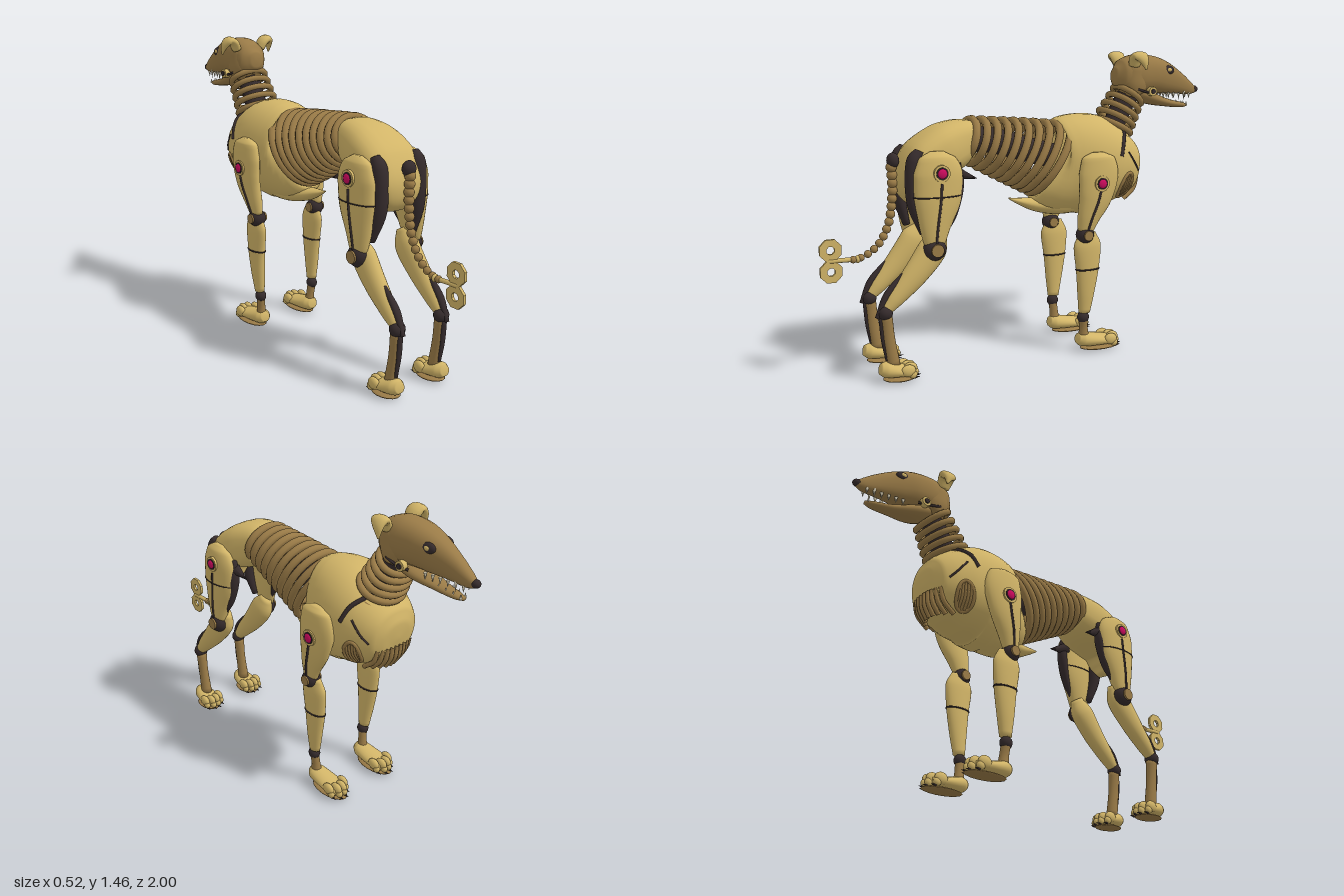
import * as THREE from 'three';

const mat = (name, color) => Object.assign(new THREE.MeshStandardMaterial({ color }), { name });

export function createModel() {
  const gold = mat('gold', 0xd2b568), brown = mat('bronze', 0x9a7b47), dark = mat('dark iron', 0x352b2c);
  const pink = mat('pink gem', 0xcc0a5e), bone = mat('bone', 0xe6dcc0);
  const root = new THREE.Group();
  const V = (x, y, z) => new THREE.Vector3(x, y, z);

  const add = (name, geo, material) => {
    const m = new THREE.Mesh(geo, material);
    m.name = name;
    root.add(m);
    return m;
  };

  // Surface through sections [x, y, z, half width, half depth]; i is a section index, power below 1 squares them
  const surface = (secs, ref, power) => {
    const path = new THREE.CatmullRomCurve3(secs.map(s => V(s[0], s[1], s[2])));
    const radii = new THREE.CatmullRomCurve3(secs.map(s => V(s[3], s[4], 0)));
    const n = secs.length - 1, bend = q => Math.sign(q) * Math.abs(q) ** power;
    return (i, a) => {
      const t = Math.min(1, Math.max(0, i / n));
      const tan = path.getTangent(t), r = radii.getPoint(t);
      const u = ref.clone().addScaledVector(tan, -ref.dot(tan)).normalize();
      const v = tan.clone().cross(u);
      return path.getPoint(t).addScaledVector(u, bend(Math.cos(a)) * r.x).addScaledVector(v, bend(Math.sin(a)) * r.y);
    };
  };

  const loft = (name, material, secs, { ref = V(1, 0, 0), power = 1, seg = 24 } = {}) => {
    const P = surface(secs, ref, power), n = secs.length - 1, rows = n * 5, pos = [], idx = [];
    for (let i = 0; i <= rows; i++)
      for (let j = 0; j < seg; j++) pos.push(...P(i / 5, j / seg * Math.PI * 2).toArray());
    const end = (rows + 1) * seg;
    pos.push(...secs[0].slice(0, 3), ...secs[n].slice(0, 3));
    for (let j = 0; j < seg; j++) {
      const k = (j + 1) % seg;
      for (let i = 0; i < rows; i++) {
        const o = i * seg;
        idx.push(o + j, o + k, o + seg + j, o + k, o + seg + k, o + seg + j);
      }
      idx.push(end, k, j, end + 1, rows * seg + j, rows * seg + k);
    }
    const g = new THREE.BufferGeometry();
    g.setAttribute('position', new THREE.Float32BufferAttribute(pos, 3));
    g.setIndex(idx);
    g.computeVertexNormals();
    add(name, g, material);
    return P;
  };

  const tube = (name, material, pts, r, closed = false) =>
    add(name, new THREE.TubeGeometry(new THREE.CatmullRomCurve3(pts, closed), closed ? 40 : 14, r, 8, closed), material);

  // Elliptical ring leaning in the yz plane; lean moves its top forward
  const ring = (name, material, x, y, z, rx, ry, lean, r) => {
    const pts = [];
    for (let j = 0; j < 16; j++) {
      const a = j / 16 * Math.PI * 2, q = Math.sin(a) * ry;
      pts.push(V(x + Math.cos(a) * rx, y + q * Math.cos(lean), z - q * Math.sin(lean)));
    }
    tube(name, material, pts, r, true);
  };

  const ball = (name, material, x, y, z, sx, sy = sx, sz = sx) => {
    const m = add(name, new THREE.SphereGeometry(1, 16, 12), material);
    m.position.set(x, y, z);
    m.scale.set(sx, sy, sz);
  };
  const discX = (name, material, x, y, z, r, len) => {
    const m = add(name, new THREE.CylinderGeometry(r, r, len, 18), material);
    m.rotation.z = Math.PI / 2;
    m.position.set(x, y, z);
  };
  const spike = (name, material, x, y, z, r, h, rx) => {
    const m = add(name, new THREE.ConeGeometry(r, h, 8), material);
    m.position.set(x, y, z);
    m.rotation.x = rx;
  };
  const bolt = (s, x, y, z) => {
    discX('boltRim', gold, s * x, y, z, 0.038, 0.016);
    discX('boltCollar', dark, s * (x + 0.003), y, z, 0.028, 0.016);
    ball('boltGem', pink, s * (x + 0.008), y, z, 0.011, 0.023, 0.023);
  };

  // Chest, belly plate and rump
  const chest = loft('chest', gold, [[0, .92, -.12, .1, .17], [0, .9, -.16, .155, .22], [0, .91, -.24, .185, .245],
    [0, .92, -.33, .2, .24], [0, .907, -.43, .192, .212], [0, .893, -.52, .162, .165], [0, .885, -.57, .13, .128],
    [0, .882, -.592, .08, .08], [0, .881, -.598, .012, .012]], { power: .92, seg: 36 });
  loft('bellyPlate', gold, [[0, .72, -.3, .1, .04], [0, .715, -.18, .095, .045], [0, .725, -.06, .06, .035],
    [0, .75, .04, .025, .014], [0, .765, .085, .003, .003]]);
  loft('rump', gold, [[0, 1.05, .28, .09, .085], [0, 1.055, .32, .115, .1], [0, 1.02, .42, .142, .115],
    [0, .97, .52, .148, .1], [0, .91, .58, .135, .065], [0, .84, .59, .105, .045], [0, .79, .58, .06, .02]], { power: .75 });

  // Waist coils around the spine
  tube('spine', dark, [V(0, 1.06, .34), V(0, 1.05, .18), V(0, 1.0, 0), V(0, .95, -.18)], .06);
  for (let i = 0; i < 10; i++) {
    const t = i / 9;
    ring('waistCoil', brown, 0, 1.06 - .11 * t, .3 - .42 * t, .113 + .035 * t, .095 + .095 * t, .3 + .25 * t, .0195);
  }

  // Neck coils
  tube('neckCore', dark, [V(0, .98, -.43), V(0, 1.12, -.505), V(0, 1.3, -.6)], .055);
  for (let i = 0; i < 6; i++) {
    const t = i / 5;
    ring('neckCoil', brown, 0, 1.055 + .185 * t, -.465 - .105 * t, .108 - .012 * t, .1 - .025 * t, -1.15 + .25 * t, .0155);
  }

  // Head, nape, jaw and nose
  loft('head', brown, [[0, 1.34, -.49, .03, .035], [0, 1.338, -.53, .075, .08], [0, 1.345, -.62, .09, .1],
    [0, 1.343, -.7, .083, .094], [0, 1.325, -.78, .064, .082], [0, 1.297, -.87, .042, .057],
    [0, 1.267, -.95, .026, .031], [0, 1.26, -.985, .012, .014]], { power: .85 });
  loft('nape', brown, [[0, 1.235, -.6, .05, .04], [0, 1.255, -.595, .08, .065], [0, 1.31, -.59, .09, .085],
    [0, 1.37, -.595, .088, .085], [0, 1.41, -.6, .07, .06]], { power: .9 });
  loft('lowerJaw', brown, [[0, 1.28, -.56, .05, .035], [0, 1.235, -.67, .068, .036], [0, 1.2, -.8, .04, .021],
    [0, 1.185, -.9, .024, .014], [0, 1.183, -.93, .012, .007]]);
  ball('nose', dark, 0, 1.264, -.978, .019, .018, .022);

  // Centre grille of the chest
  for (let k = -4; k <= 4; k++) {
    const x = k * .025, q = x * x;
    tube('chestGrille', brown, [V(x, .845, -.59 + 1.9 * q), V(x, .785, -.584 + 3 * q), V(x, .735, -.555 + 6 * q)], .011);
  }

  const foot = (s, x, z, len) => {
    loft('paw', gold, [[s * x, .065, z, .025, .025], [s * x, .058, z - .03, .045, .036],
      [s * x, .045, z - len * .6, .055, .027], [s * x, .04, z - len * .85, .045, .02]]);
    ball('sole', brown, s * x, .011, z - len * .54, .055, .011, len * .46);
    for (let k = 0; k < 4; k++) {
      const tx = s * x + (k - 1.5) * .03, tz = z - len * (k % 3 ? .8 : .7);
      ball('toe', gold, tx, .053, tz, .018, .028, .034);
      ball('toeTip', gold, tx, .034, tz - .02, .015, .02, .02);
      spike('claw', dark, tx, .018, tz - .04, .007, .028, -Math.PI / 2);
    }
  };

  for (const s of [1, -1]) {
    const L = secs => secs.map(([x, ...r]) => [s * x, ...r]);
    const out = s > 0 ? 0 : Math.PI; // section angle facing outward
    const side = d => (s > 0 ? d : 180 - d) * Math.PI / 180;

    // Chest seams and side vents
    tube('chestStrap', dark, [[4.5, -80], [4.35, -55], [4.1, -35], [3.9, -12]].map(([i, d]) => chest(i, side(d))), .01);
    tube('chestSeam', dark, [[4.4, -22], [5, -8], [5.7, 2]].map(([i, d]) => chest(i, side(d))), .005);
    const oval = [];
    for (let j = 0; j < 12; j++) {
      const a = j * Math.PI / 6;
      oval.push(chest(4.65 + .42 * Math.cos(a), side(29 + 23 * Math.sin(a))));
    }
    tube('ventRim', brown, oval, .009, true);
    for (let k = -2; k <= 2; k++) {
      const h = 21 * Math.sqrt(1 - k * k / 8), i = 4.65 + k * .14;
      tube('ventSlat', brown, [chest(i, side(29 - h)), chest(i, side(29)), chest(i, side(29 + h))], .007);
    }

    // Ear, eye, cheek bolt and teeth
    loft('ear', gold, L([[.07, 1.39, -.565, .03, .02], [.088, 1.425, -.565, .04, .022], [.112, 1.437, -.57, .042, .021],
      [.133, 1.415, -.58, .027, .016], [.141, 1.37, -.59, .004, .004]]), { ref: V(0, 0, 1), seg: 16 });
    ball('eyeSocket', dark, s * .052, 1.364, -.775, .017, .025, .038);
    ball('eye', gold, s * .063, 1.366, -.778, .009, .011, .015);
    discX('cheekBolt', gold, s * .08, 1.262, -.665, .023, .026);
    discX('cheekBoltCore', dark, s * .086, 1.262, -.665, .012, .026);
    tube('cheekSeam', dark, [V(s * .082, 1.275, -.58), V(s * .082, 1.26, -.63), V(s * .072, 1.25, -.7)], .006);
    for (let k = 0; k < 6; k++) {
      const z = -.76 - k * .035, x = s * (.042 - k * .005);
      spike('upperTooth', bone, x, 1.237 - k * .001, z, .008, k === 4 ? .05 : .032, Math.PI);
      spike('lowerTooth', bone, x * .8, 1.215 - k * .004, z + .012, .006, .022, 0);
    }

    // Front leg
    const arm = loft('shoulder', gold, L([[.2, .99, -.29, .012, .03], [.2, .965, -.29, .035, .085], [.2, .88, -.295, .042, .105],
      [.2, .78, -.28, .04, .09], [.19, .68, -.25, .035, .06], [.183, .61, -.235, .026, .04]]));
    bolt(s, .239, .845, -.29);
    tube('shoulderSeam', dark, [2.7, 3.2, 3.8, 4.4, 5].map(i => arm(i, out)), .006);
    ball('elbow', dark, s * .18, .593, -.235, .042, .045, .045);
    discX('elbowCap', brown, s * .18, .593, -.235, .024, .086);
    loft('forearm', gold, L([[.175, .6, -.25, .018, .045], [.175, .53, -.252, .031, .073], [.173, .42, -.255, .032, .061],
      [.17, .3, -.25, .029, .045], [.165, .2, -.245, .022, .03]]));
    ring('forearmSeam', dark, s * .173, .42, -.255, .032, .061, Math.PI / 2, .004);
    ball('wrist', dark, s * .163, .175, -.24, .027, .03, .03);
    loft('frontShank', brown, L([[.163, .17, -.24, .022, .022], [.158, .12, -.245, .02, .022], [.155, .06, -.25, .026, .028]]));
    foot(s, .152, -.215, .235);

    // Hind leg
    const thigh = loft('thigh', gold, L([[.148, 1.03, .5, .012, .03], [.15, 1.0, .5, .036, .085], [.15, .92, .495, .049, .115],
      [.15, .82, .5, .05, .11], [.153, .7, .515, .042, .075], [.157, .62, .52, .03, .05], [.158, .59, .52, .015, .03]]));
    bolt(s, .196, .936, .495);
    tube('thighSeam', dark, [2.3, 3, 3.6, 4.2, 5].map(i => thigh(i, out)), .006);
    ring('thighBand', dark, s * .15, .83, .5, .05, .11, Math.PI / 2, .003);
    loft('thighBackPlate', dark, L([[.112, 1.03, .565, .02, .022], [.11, .98, .592, .036, .036], [.11, .8, .597, .036, .032],
      [.12, .66, .56, .02, .016]]));
    loft('thighFrontPlate', dark, L([[.135, .97, .4, .015, .018], [.138, .87, .395, .028, .024], [.143, .74, .425, .02, .018],
      [.15, .67, .46, .008, .008]]));
    spike('hipSpike', dark, s * .13, .91, .355, .033, .12, -Math.PI / 2 - .3);
    ball('knee', dark, s * .155, .593, .52, .047, .054, .054);
    discX('kneeCap', brown, s * .155, .593, .52, .029, .096);
    loft('shin', gold, L([[.133, .655, .485, .025, .035], [.128, .58, .525, .046, .068], [.13, .48, .605, .043, .058],
      [.13, .38, .7, .035, .04], [.13, .325, .75, .024, .024]]));
    loft('shinBackPlate', dark, L([[.13, .485, .66, .01, .012], [.13, .4, .74, .018, .014], [.13, .3, .785, .01, .01]]));
    ball('hock', dark, s * .13, .322, .748, .037, .036, .034);
    loft('hindShank', brown, L([[.13, .31, .745, .028, .028], [.13, .2, .735, .024, .028], [.13, .07, .715, .028, .03]]));
    loft('hindShankPlate', dark, L([[.13, .3, .765, .014, .014], [.13, .2, .763, .013, .008], [.13, .1, .745, .01, .008]]));
    foot(s, .135, .78, .168);
  }

  // Beaded tail
  ball('tailMount', dark, 0, .98, .655, .034, .036, .028);
  const tail = new THREE.CatmullRomCurve3([V(0, .95, .663), V(0, .87, .66), V(0, .77, .667), V(0, .68, .688),
    V(0, .6, .735), V(0, .555, .8), V(0, .545, .85)]);
  for (let i = 0; i < 15; i++) {
    const p = tail.getPointAt(i / 14);
    ball('tailBead', brown, 0, p.y, p.z, .025 - i * .0006);
  }

  // Winding key at the tail tip
  tube('keyStem', gold, [V(0, .545, .84), V(0, .547, .9), V(0, .548, .96)], .011);
  ball('keyCollar', gold, 0, .545, .83, .018, .018, .012);
  for (const y of [.597, .499]) {
    const shape = new THREE.Shape(), hole = new THREE.Path();
    for (let k = 0; k < 8; k++) {
      const a = (k + .5) * Math.PI / 4, f = k ? 'lineTo' : 'moveTo';
      shape[f](Math.cos(a) * .053, Math.sin(a) * .053);
      hole[f](Math.cos(-a) * .019, Math.sin(-a) * .019);
    }
    shape.holes.push(hole);
    const g = new THREE.ExtrudeGeometry(shape, { depth: .014, bevelEnabled: false });
    g.translate(0, 0, -.007);
    const m = add('keyBow', g, gold);
    m.rotation.y = Math.PI / 2;
    m.position.set(0, y, .951);
  }
  return root;
}
